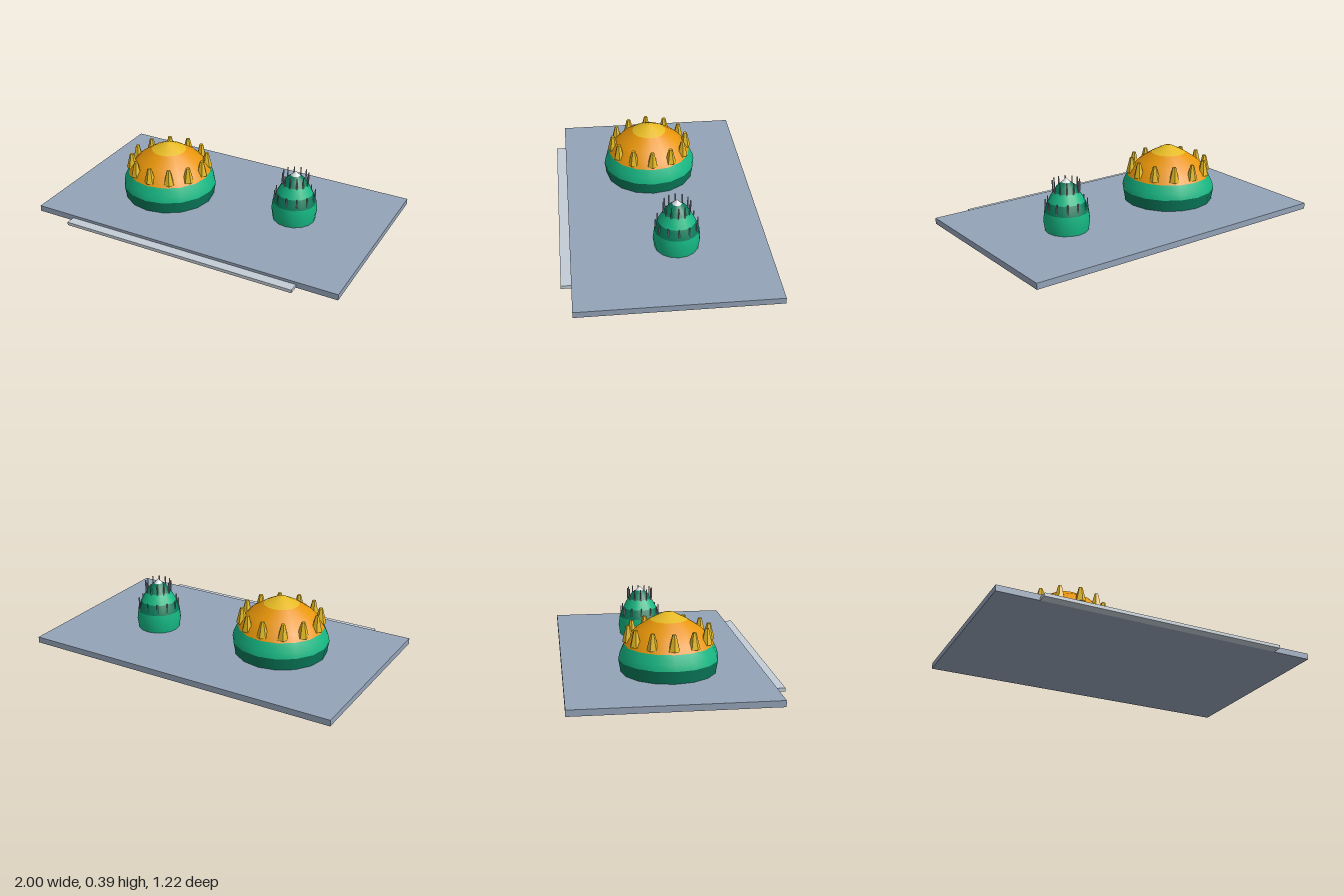
import * as THREE from 'three';

const mat = (name, color, extra = {}) => {
  const m = new THREE.MeshStandardMaterial({ color, ...extra });
  m.name = name;
  return m;
};

export function createModel() {
  const root = new THREE.Group();
  root.name = 'domedBuildings';

  const slate = mat('slate', 0x94a3b8);
  const paleGrey = mat('paleGrey', 0xc3cdd6);
  const green = mat('green', 0x16b984);
  const darkGreen = mat('darkGreen', 0x087a5a);
  const orange = mat('orange', 0xf59e0b);
  const yellow = mat('yellow', 0xe6ba24);
  const rodGrey = mat('rodGrey', 0x9ca3af);
  const white = mat('white', 0xe5e7eb);

  const add = (parent, name, geometry, material, x = 0, y = 0, z = 0) => {
    const mesh = new THREE.Mesh(geometry, material);
    mesh.name = name;
    mesh.position.set(x, y, z);
    parent.add(mesh);
    return mesh;
  };

  // One coloured ring of a dome; profile is [radius, height] from bottom to top
  const band = (parent, name, profile, material, sides = 16) =>
    add(parent, name,
      new THREE.LatheGeometry(profile.map(([r, y]) => new THREE.Vector2(r, y)), sides), material);

  // Upright parts set evenly around a dome
  const ring = (parent, name, geometry, material, count, radius, y) => {
    const group = new THREE.Group();
    group.name = name + 'Ring';
    for (let i = 0; i < count; i++) {
      const a = (i / count) * Math.PI * 2;
      const m = add(group, name, geometry, material, Math.sin(a) * radius, y, Math.cos(a) * radius);
      m.rotation.y = a;
    }
    parent.add(group);
  };

  // Ground slab and front step
  add(root, 'slab', new THREE.BoxGeometry(2, 0.037, 1.165), slate, 0, 0.0185, -0.03);
  add(root, 'frontStep', new THREE.BoxGeometry(1.5, 0.02, 0.06), paleGrey, 0, 0.01, 0.582);

  // Large dome
  const large = new THREE.Group();
  large.name = 'largeDome';
  large.position.set(-0.38, 0, 0.007);
  root.add(large);
  band(large, 'largeLowerWall', [[0, 0.037], [0.281, 0.037]], darkGreen);
  band(large, 'largeLowerBand', [[0.281, 0.037], [0.294, 0.112]], darkGreen);
  band(large, 'largeUpperBand', [[0.294, 0.112], [0.286, 0.15], [0.262, 0.2]], green);
  band(large, 'largeRoof', [[0.262, 0.2], [0.235, 0.24], [0.19, 0.288], [0.108, 0.342]], orange);
  band(large, 'largeRoofCap', [[0.108, 0.342], [0.03, 0.382], [0, 0.386]], yellow);
  const spike = new THREE.CylinderGeometry(0.012, 0.035, 0.095, 6).toNonIndexed();
  spike.computeVertexNormals();
  ring(large, 'roofSpike', spike, yellow, 12, 0.235, 0.2625);

  // Small tiered dome
  const small = new THREE.Group();
  small.name = 'smallDome';
  small.position.set(0.455, 0, -0.073);
  root.add(small);
  band(small, 'smallLowerBand', [[0.13, 0.037], [0.14, 0.1], [0.133, 0.155]], green);
  band(small, 'smallSecondBand', [[0.133, 0.155], [0.125, 0.182], [0.11, 0.215]], darkGreen);
  band(small, 'smallThirdBand', [[0.11, 0.215], [0.093, 0.248], [0.077, 0.275]], green);
  band(small, 'smallTopBand', [[0.077, 0.275], [0.057, 0.305], [0.028, 0.33]], darkGreen);
  band(small, 'smallCap', [[0.03, 0.327], [0, 0.357]], white, 8);
  const rod = new THREE.CylinderGeometry(0.004, 0.004, 0.072, 6);
  ring(small, 'lowerRod', rod, rodGrey, 12, 0.124, 0.191);
  ring(small, 'upperRod', rod, rodGrey, 12, 0.079, 0.308);

  return root;
}
